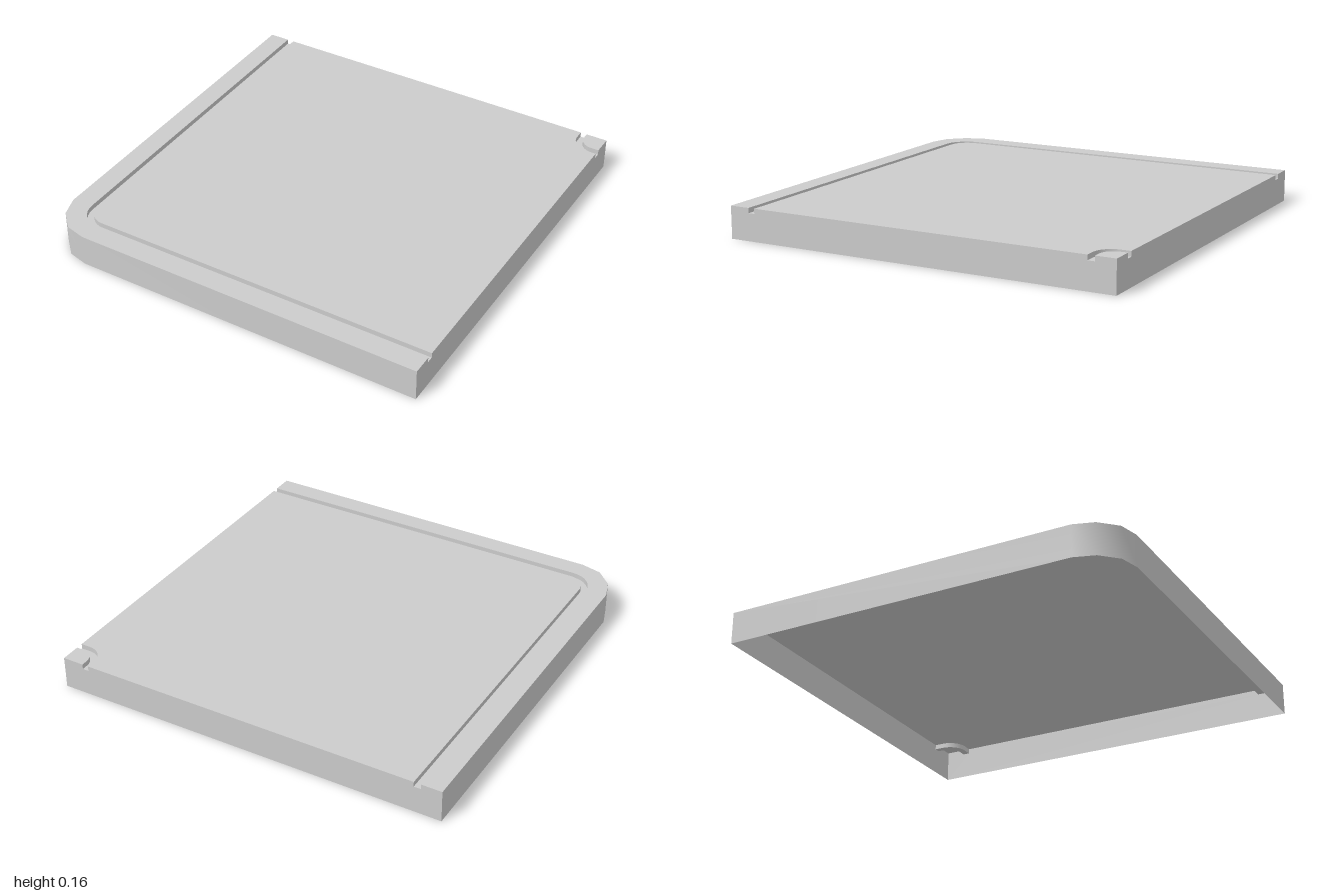
import * as THREE from 'three';
import { toCreasedNormals } from 'three/addons/utils/BufferGeometryUtils.js';

const TOP = 0.16, FLOOR = 0.135; // deck height and groove floor height
const material = new THREE.MeshStandardMaterial({ color: 0xcccccc, side: THREE.DoubleSide });

// Rounded bend about (cx, cz), angles in degrees, as [x, z] points
function arc(cx, cz, rx, rz, from, to, steps = 8) {
  return Array.from({ length: steps + 1 }, (_, i) => {
    const a = THREE.MathUtils.degToRad(from + (to - from) * i / steps);
    return [cx + rx * Math.cos(a), cz + rz * Math.sin(a)];
  });
}

// Flat panel in plan, from [x, z] points
function flat(points, y) {
  const shape = new THREE.Shape(points.map(([x, z]) => new THREE.Vector2(x, -z)));
  return new THREE.ShapeGeometry(shape).rotateX(-Math.PI / 2).translate(0, y, 0);
}

// Upright strip following [x, z] points between two heights
function strip(points, y0, y1) {
  const pos = [], index = [];
  points.forEach(([x, z], i) => {
    pos.push(x, y0, z, x, y1, z);
    if (i) {
      const a = 2 * i - 2;
      index.push(a, a + 1, a + 2, a + 1, a + 3, a + 2);
    }
  });
  const geo = new THREE.BufferGeometry();
  geo.setAttribute('position', new THREE.Float32BufferAttribute(pos, 3));
  geo.setIndex(index);
  return toCreasedNormals(geo, 0.7);
}

// Straight wall along u with notches cut where grooves run out
function notchedWall(u0, u1, notches) {
  const shape = new THREE.Shape();
  shape.moveTo(u0, 0).lineTo(u1, 0).lineTo(u1, TOP);
  for (const [a, b] of notches) {
    shape.lineTo(b, TOP).lineTo(b, FLOOR).lineTo(a, FLOOR).lineTo(a, TOP);
  }
  shape.lineTo(u0, TOP);
  return new THREE.ShapeGeometry(shape);
}

export function createModel() {
  const group = new THREE.Group();
  const add = (name, geometry) => {
    const mesh = new THREE.Mesh(geometry, material);
    mesh.name = name;
    group.add(mesh);
  };

  // Plan lines, each running from the back or left round to the front or right
  const outline = [[-1, -1], [-1, 0.777], [-0.967, 0.879], [-0.888, 0.96], [-0.785, 0.986], [1, 0.995]];
  const longOuter = [[-0.898, -1], ...arc(-0.775, 0.765, 0.12, 0.123, 180, 90), [1, 0.893]];
  const longInner = [[-0.863, -1], ...arc(-0.77, 0.76, 0.093, 0.095, 180, 90), [1, 0.86]];
  const shortOuter = [[0.86, -1], ...arc(0.95, -0.955, 0.09, 0.09, 180, 90), [1, -0.865]];
  const shortInner = [[0.892, -1], ...arc(0.96, -0.968, 0.068, 0.068, 180, 90), [1, -0.9]];
  const between = (a, b) => [...a, ...[...b].reverse()];

  // Top surfaces
  add('rim', flat(between(outline, longOuter), TOP));
  add('deck', flat(between(longInner, shortOuter), TOP));
  add('cornerPad', flat([...shortInner, [1, -1]], TOP));

  // Grooves
  for (const [name, outer, inner] of [
    ['longGroove', longOuter, longInner],
    ['cornerGroove', shortOuter, shortInner],
  ]) {
    add(name + 'Floor', flat(between(outer, inner), FLOOR));
    add(name + 'OuterSide', strip(outer, FLOOR, TOP));
    add(name + 'InnerSide', strip(inner, FLOOR, TOP));
  }

  // Thin skirt walls, open underneath
  add('frontAndSideWall', strip(outline, 0, TOP));
  add('backWall', notchedWall(-1, 1, [[0.86, 0.892], [-0.898, -0.863]]).translate(0, 0, -1));
  add('notchedSideWall',
    notchedWall(-1, 0.995, [[0.86, 0.893], [-0.9, -0.865]]).rotateY(-Math.PI / 2).translate(1, 0, 0));

  return group;
}
